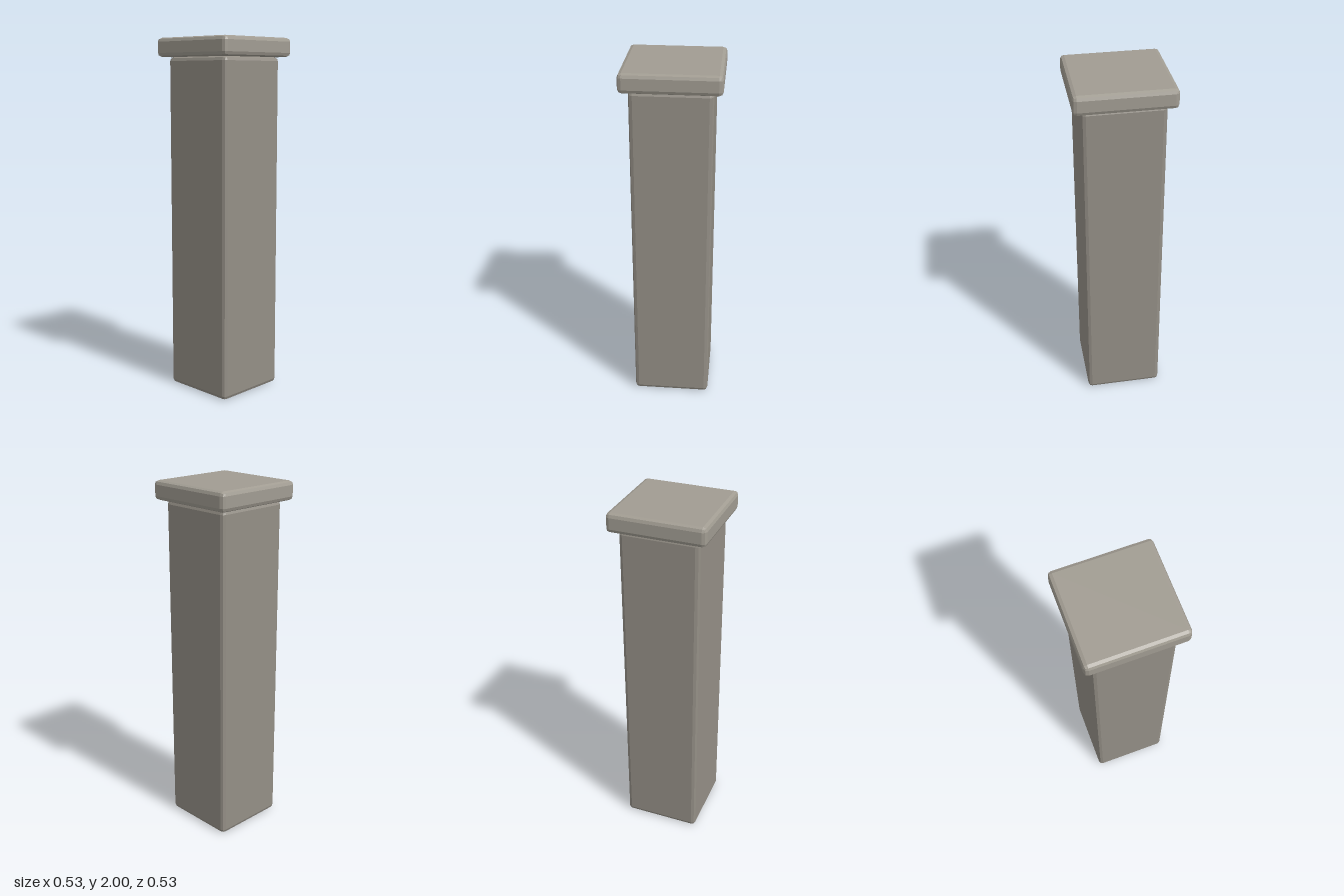
import * as THREE from 'three';
import { RoundedBoxGeometry } from 'three/addons/geometries/RoundedBoxGeometry.js';

// Bevelled square block standing between two heights
function block(name, width, bottom, top, bevel, color) {
  const height = top - bottom;
  const mesh = new THREE.Mesh(
    new RoundedBoxGeometry(width, height, width, 1, bevel),
    new THREE.MeshStandardMaterial({ color, flatShading: true })
  );
  mesh.name = name;
  mesh.position.y = bottom + height / 2;
  return mesh;
}

export function createModel() {
  const pillar = new THREE.Group();
  pillar.name = 'pillar';
  pillar.add(
    block('shaft', 0.437, 0, 1.895, 0.022, 0x948f86),
    block('cap', 0.532, 1.895, 2, 0.022, 0xa19c92)
  );
  return pillar;
}
